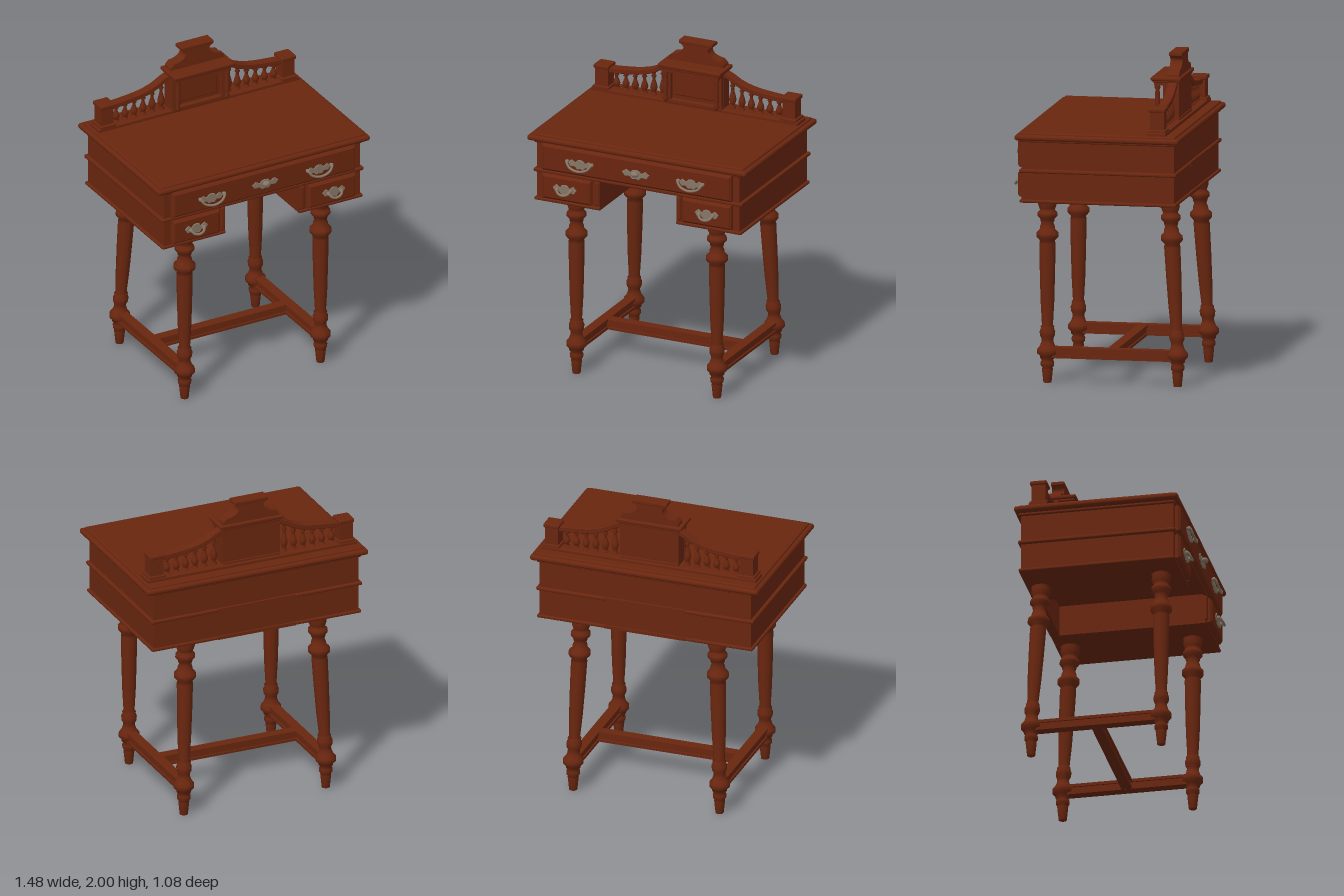
import * as THREE from 'three';
import { RoundedBoxGeometry } from 'three/addons/geometries/RoundedBoxGeometry.js';

const wood = new THREE.MeshStandardMaterial({ color: 0x69260f });
wood.name = 'mahogany';
const metal = new THREE.MeshStandardMaterial({ color: 0x857766 });
metal.name = 'aged metal';

export function createModel() {
  const model = new THREE.Group();
  model.name = 'writingDesk';

  const add = (name, geo, mat = wood, x = 0, y = 0, z = 0) => {
    const m = new THREE.Mesh(geo, mat);
    m.name = name;
    m.position.set(x, y, z);
    model.add(m);
    return m;
  };
  // Box given by its limits, with optional rounded edges
  const box = (name, x0, x1, y0, y1, z0, z1, r = 0) => {
    const s = [x1 - x0, y1 - y0, z1 - z0];
    const geo = r ? new RoundedBoxGeometry(...s, 3, r) : new THREE.BoxGeometry(...s);
    return add(name, geo, wood, (x0 + x1) / 2, (y0 + y1) / 2, (z0 + z1) / 2);
  };
  const lathe = (pts, n) => new THREE.LatheGeometry(pts.map(([r, y]) => new THREE.Vector2(r, y)), n);
  // Panel with bevelled front edges, standing in the xy plane
  const bevelPanel = (name, x0, x1, y0, y1, z0, z1, b) => {
    const s = new THREE.Shape();
    s.moveTo(x0 + b, y0 + b).lineTo(x1 - b, y0 + b).lineTo(x1 - b, y1 - b).lineTo(x0 + b, y1 - b).closePath();
    const geo = new THREE.ExtrudeGeometry(s, {
      depth: z1 - z0 - 2 * b, bevelEnabled: true, bevelSize: b, bevelThickness: b, bevelSegments: 1 });
    return add(name, geo, wood, 0, 0, z0 + b);
  };

  // Table top
  box('topEdge', -0.74, 0.74, 1.53, 1.565, -0.53, 0.49, 0.016);
  box('topSlab', -0.715, 0.715, 1.545, 1.577, -0.507, 0.467, 0.01);
  box('underTopMoulding', -0.7, 0.7, 1.515, 1.535, -0.508, 0.465, 0.008);

  // Carcass: upper case, side pedestals and back, leaving the kneehole open
  box('upperCase', -0.685, 0.685, 1.335, 1.53, -0.495, 0.455);
  box('backPanel', -0.26, 0.26, 1.14, 1.34, -0.495, -0.45);
  for (const s of [-1, 1]) {
    const span = (a, b) => (s > 0 ? [a, b] : [-b, -a]);
    box('pedestal', ...span(0.258, 0.685), 1.14, 1.34, -0.495, 0.455);
    box('pedestalFoot', ...span(0.258, 0.7), 1.14, 1.16, -0.508, 0.465, 0.008);
    box('middleMoulding', ...span(0.258, 0.705), 1.325, 1.348, -0.51, 0.467, 0.009);
    box('kneeholePilaster', ...span(0.262, 0.292), 1.165, 1.325, 0.44, 0.468, 0.01);
    bevelPanel('lowerDrawer', ...span(0.308, 0.64), 1.168, 1.328, 0.44, 0.488, 0.014);
  }
  box('backFoot', -0.26, 0.26, 1.14, 1.16, -0.508, -0.45);
  box('backMoulding', -0.26, 0.26, 1.325, 1.348, -0.51, -0.47);
  box('kneeholeRail', -0.26, 0.26, 1.325, 1.348, 0.44, 0.467, 0.009);
  bevelPanel('upperDrawer', -0.64, 0.64, 1.352, 1.522, 0.44, 0.488, 0.014);

  // Metal pulls
  const plate = (name, x, y, z, w, h) => {
    const half = [[0, 0.5], [0.12, 0.42], [0.2, 0.15], [0.36, 0.42], [0.5, 0.12], [0.4, -0.25], [0.22, -0.2], [0.12, -0.5]];
    const mirror = half.slice(1).reverse().map(([a, b]) => [-a, b]);
    const pts = [...half, [0, -0.42], ...mirror].map(([a, b]) => new THREE.Vector2(a * w, b * h)).reverse();
    const geo = new THREE.ExtrudeGeometry(new THREE.Shape(pts), {
      depth: 0.004, bevelEnabled: true, bevelSize: 0.002, bevelThickness: 0.002, bevelSegments: 1 });
    add(name, geo, metal, x, y, z);
  };
  const bail = (x, y, w, drop) => {
    const curve = new THREE.CatmullRomCurve3([
      [-0.5, 0, 0.49], [-0.5, 0, 0.512], [-0.36, -0.65, 0.524], [0, -1, 0.53],
      [0.36, -0.65, 0.524], [0.5, 0, 0.512], [0.5, 0, 0.49],
    ].map(([a, b, z]) => new THREE.Vector3(x + a * w, y + b * drop, z)));
    add('bailHandle', new THREE.TubeGeometry(curve, 28, 0.008, 8), metal);
    for (const s of [-1, 1]) {
      add('handleKnob', new THREE.SphereGeometry(0.013, 10, 8), metal, x + s * w / 2, y, 0.505);
    }
  };
  for (const s of [-1, 1]) {
    plate('upperPullPlate', s * 0.375, 1.43, 0.49, 0.16, 0.06);
    bail(s * 0.375, 1.445, 0.165, 0.046);
    plate('lowerPullPlate', s * 0.48, 1.248, 0.49, 0.155, 0.065);
    bail(s * 0.48, 1.25, 0.09, 0.026);
  }
  plate('keyPlate', 0, 1.43, 0.49, 0.18, 0.06);
  const key = add('keyBoss', new THREE.SphereGeometry(0.022, 12, 8), metal, 0, 1.437, 0.508);
  key.scale.set(1.2, 0.8, 1);

  // Turned legs; the rear pair leans inward towards the top
  const legProfile = [
    [0, 0], [0.025, 0], [0.034, 0.085], [0.029, 0.09], [0.041, 0.105], [0.042, 0.125], [0.034, 0.138],
    [0.045, 0.15], [0.047, 0.165], [0.063, 0.18], [0.063, 0.205], [0.047, 0.225], [0.038, 0.25],
    [0.036, 0.27], [0.046, 0.29], [0.048, 0.315], [0.04, 0.335], [0.042, 0.345], [0.034, 0.355],
    [0.042, 0.5], [0.047, 0.68], [0.05, 0.86], [0.045, 0.875], [0.067, 0.9], [0.067, 0.925],
    [0.048, 0.945], [0.045, 0.965], [0.037, 0.985], [0.044, 1.0], [0.044, 1.01], [0.061, 1.03], [0.06, 1.05],
    [0.045, 1.065], [0.05, 1.08], [0.059, 1.105], [0.057, 1.125], [0.06, 1.145],
  ];
  const leg = (name, x, z, dx, dz) => {
    const geo = lathe(legProfile, 20);
    const p = geo.attributes.position;
    for (let i = 0; i < p.count; i++) {
      const t = Math.max(0, p.getY(i) - 0.2) / 0.94;
      p.setX(i, p.getX(i) + dx * t);
      p.setZ(i, p.getZ(i) + dz * t);
    }
    geo.computeVertexNormals();
    add(name, geo, wood, x, 0, z);
  };
  for (const s of [-1, 1]) {
    leg('frontLeg', s * 0.475, 0.335, 0, 0);
    leg('rearLeg', s * 0.475, -0.475, -s * 0.035, 0.055);
  }

  // H-shaped stretcher with moulded edges
  const bars = [['lowerLip', 0.155, 0.172, 0.032], ['web', 0.165, 0.215, 0.022], ['upperLip', 0.203, 0.222, 0.032]];
  for (const [part, y0, y1, h] of bars) {
    for (const x of [-0.475, 0.475]) box('sideStretcher ' + part, x - h, x + h, y0, y1, -0.455, 0.315);
    box('crossStretcher ' + part, -0.46, 0.46, y0 + 0.001, y1 - 0.001, -0.07 - h, -0.07 + h);
  }

  // Gallery base and end posts
  box('galleryBase', -0.7, 0.7, 1.57, 1.597, -0.445, -0.33, 0.006);
  for (const s of [-1, 1]) {
    const x = s * 0.633;
    box('postPlinth', x - 0.055, x + 0.055, 1.59, 1.612, -0.442, -0.33, 0.006);
    box('galleryPost', x - 0.043, x + 0.043, 1.59, 1.73, -0.43, -0.345);
    box('postCap', x - 0.051, x + 0.051, 1.722, 1.748, -0.44, -0.335, 0.008);

    // Sweeping handrail
    const rail = new THREE.SplineCurve([
      [0.19, 1.815], [0.235, 1.795], [0.29, 1.765], [0.36, 1.742], [0.45, 1.727], [0.595, 1.715],
    ].map(([a, b]) => new THREE.Vector2(s * a, b)));
    const top = rail.getPoints(24);
    const outline = [...top.map(p => new THREE.Vector2(p.x, p.y + 0.012)),
      ...top.map(p => new THREE.Vector2(p.x, p.y - 0.014)).reverse()];
    add('handrail', new THREE.ExtrudeGeometry(new THREE.Shape(outline), {
      depth: 0.05, bevelEnabled: true, bevelSize: 0.004, bevelThickness: 0.004, bevelSegments: 1 }), wood, 0, 0, -0.412);

    // Turned balusters, stretched to reach the rail
    for (let i = 0; i < 6; i++) {
      const bx = 0.235 + i * 0.063;
      const railY = top.reduce((a, p) => (Math.abs(Math.abs(p.x) - bx) < Math.abs(Math.abs(a.x) - bx) ? p : a)).y;
      const prof = [[0.02, 0], [0.02, 0.06], [0.01, 0.1], [0.017, 0.18], [0.023, 0.3], [0.019, 0.42],
        [0.01, 0.6], [0.009, 0.7], [0.017, 0.76], [0.01, 0.82], [0.014, 0.9], [0.016, 1]];
      const b = add('baluster', lathe(prof, 12), wood, s * bx, 1.595, -0.386);
      b.scale.y = railY - 1.6;
    }
  }

  // Central niche with framed back, side cheeks and slim front columns
  box('nicheBack', -0.19, 0.19, 1.577, 1.835, -0.425, -0.355);
  box('nicheFloor', -0.19, 0.19, 1.585, 1.612, -0.43, -0.325, 0.005);
  bevelPanel('nichePanel', -0.135, 0.135, 1.635, 1.8, -0.36, -0.345, 0.006);
  box('nicheHeader', -0.19, 0.19, 1.808, 1.835, -0.36, -0.27);
  for (const s of [-1, 1]) {
    box('nicheCheek', s * 0.172 - 0.016, s * 0.172 + 0.016, 1.6, 1.835, -0.36, -0.325);
    const col = [[0, 0.0], [0.01, 0], [0.018, 0.015], [0.012, 0.03], [0.015, 0.05], [0.017, 0.12],
      [0.013, 0.17], [0.019, 0.185], [0.014, 0.2], [0.02, 0.225]];
    add('nicheColumn', lathe(col, 12), wood, s * 0.172, 1.61, -0.288);
  }
  box('nicheCornice', -0.212, 0.212, 1.838, 1.862, -0.44, -0.252, 0.009);
  box('corniceBed', -0.2, 0.2, 1.825, 1.845, -0.432, -0.263, 0.006);

  // Scrolled crown
  const crown = new THREE.Shape();
  crown.moveTo(-0.188, 1.858).lineTo(0.188, 1.858).lineTo(0.186, 1.875);
  crown.quadraticCurveTo(0.172, 1.892, 0.162, 1.9);
  crown.bezierCurveTo(0.11, 1.905, 0.082, 1.925, 0.082, 1.952);
  crown.quadraticCurveTo(0.085, 1.97, 0.11, 1.98).lineTo(0.11, 2).lineTo(-0.11, 2).lineTo(-0.11, 1.98);
  crown.quadraticCurveTo(-0.085, 1.97, -0.082, 1.952);
  crown.bezierCurveTo(-0.082, 1.925, -0.11, 1.905, -0.162, 1.9);
  crown.quadraticCurveTo(-0.172, 1.892, -0.186, 1.875).closePath();
  add('crown', new THREE.ExtrudeGeometry(crown, { depth: 0.075, bevelEnabled: false, curveSegments: 10 }), wood, 0, 0, -0.425);
  box('crownCap', -0.112, 0.112, 1.978, 2, -0.428, -0.345, 0.005);

  return model;
}
